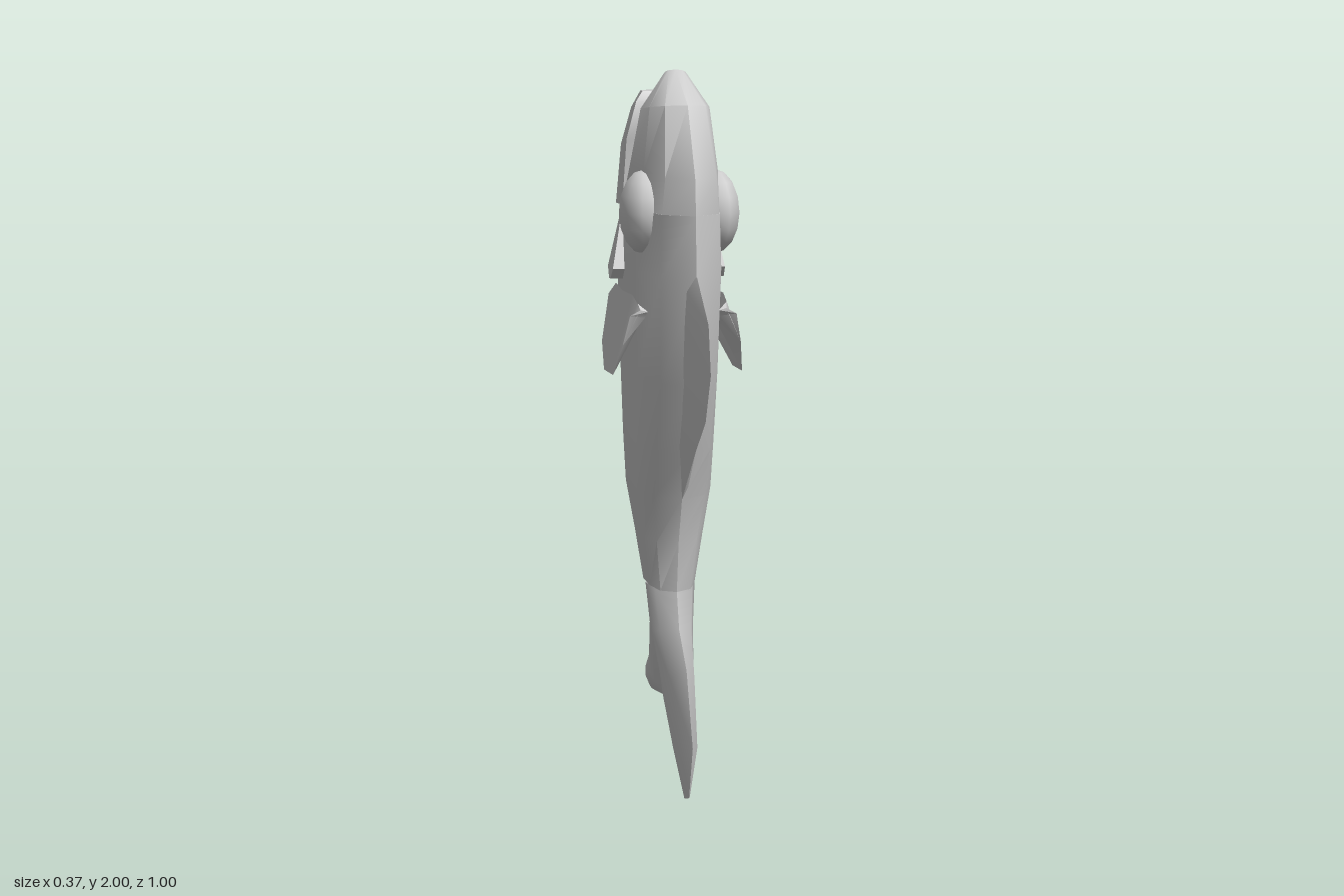
import * as THREE from 'three';
import { toCreasedNormals } from 'three/addons/utils/BufferGeometryUtils.js';

const grey = new THREE.MeshStandardMaterial({ color: 0xcccccc });
grey.name = 'fishGrey';

// Skin a list of equal-length closed rings of [x, y, z] and cap both ends
function skin(rings, crease = 0.75) {
  const n = rings[0].length, last = (rings.length - 1) * n;
  const pts = rings.flat().map(p => new THREE.Vector3(...p));
  const tris = [];
  for (let r = 0; r < rings.length - 1; r++) {
    for (let i = 0; i < n; i++) {
      const a = r * n + i, b = r * n + (i + 1) % n;
      tris.push([a, b, b + n], [a, b + n, a + n]);
    }
  }
  for (let i = 1; i < n - 1; i++) {
    tris.push([0, i + 1, i], [last, last + i, last + i + 1]);
  }
  // Signed volume tells whether the faces point outwards
  const cross = new THREE.Vector3();
  let volume = 0;
  for (const [a, b, c] of tris) volume += pts[a].dot(cross.crossVectors(pts[b], pts[c]));
  if (volume < 0) tris.forEach(t => t.reverse());
  const g = new THREE.BufferGeometry();
  g.setFromPoints(pts);
  g.setIndex(tris.flat());
  return toCreasedNormals(g, crease);
}

// Symmetric loft: each row is [zFront, yFront, zBack, yBack, halfWidth];
// the profile lists [front-to-back fraction, width fraction]
function loft(rows, profile, crease) {
  return skin(rows.map(([zf, yf, zb, yb, w]) => {
    const at = ([t, f], s) => [s * f * w, yf + (yb - yf) * t, zf + (zb - zf) * t];
    const right = profile.filter(p => p[1] > 0).reverse();
    return [...profile.map(p => at(p, 1)), ...right.map(p => at(p, -1))];
  }), crease);
}

export function createModel() {
  const fish = new THREE.Group();
  fish.name = 'fish';
  const add = (name, geometry) => {
    const mesh = new THREE.Mesh(geometry, grey);
    mesh.name = name;
    fish.add(mesh);
    return mesh;
  };

  // Trunk, from the tail root up to the mouth corner
  const trunk = [
    [0.57, 0.055, -0.155, 0.072], [0.72, 0.08, -0.175, 0.095], [0.86, 0.13, -0.23, 0.117],
    [1.0, 0.195, -0.29, 0.121], [1.2, 0.285, -0.36, 0.124], [1.48, 0.32, -0.38, 0.13],
    [1.64, 0.31, -0.355, 0.125],
  ].map(([y, zf, zb, w]) => [zf, y, zb, y, w]);
  add('body', loft(trunk, [[0, 0], [0.1, 0.6], [0.35, 0.9], [0.68, 1], [0.9, 0.64], [1, 0]]));

  // Jaws on each side of the open mouth
  add('upperJaw', loft([
    [0.31, 1.64, -0.11, 1.64, 0.123], [0.3, 1.73, -0.05, 1.75, 0.11],
    [0.2, 1.91, 0, 1.9, 0.088], [0.035, 2.0, 0.025, 1.99, 0.03],
  ], [[0, 0], [0.16, 0.6], [0.55, 0.9], [1, 1]]));
  add('lowerJaw', loft([
    [-0.11, 1.64, -0.355, 1.64, 0.127], [-0.1, 1.82, -0.31, 1.77, 0.115],
    [-0.08, 1.92, -0.27, 1.87, 0.09], [-0.095, 1.945, -0.14, 1.95, 0.07],
  ], [[0, 0], [0.04, 0.95], [0.35, 1], [0.75, 0.64], [1, 0]]));

  // Tail lobes, lens shaped in section
  const lens = [[0, 0], [0.25, 0.75], [0.5, 1], [0.75, 0.75], [1, 0]];
  add('frontTailLobe', loft([
    [0.055, 0.57, -0.155, 0.57, 0.072], [0.09, 0.47, -0.12, 0.4, 0.06],
    [0.2, 0.39, -0.05, 0.21, 0.046], [0.29, 0.2, 0.07, 0.11, 0.032], [0.24, 0.03, 0.18, 0, 0.006],
  ], lens));
  add('backTailLobe', loft([
    [0.055, 0.57, -0.155, 0.57, 0.072], [0.05, 0.42, -0.15, 0.48, 0.06],
    [-0.05, 0.21, -0.26, 0.32, 0.046], [-0.24, 0.15, -0.39, 0.21, 0.03], [-0.37, 0.11, -0.41, 0.13, 0.006],
  ], lens));

  // Wedge fins: sharp outer edge first, thick root second
  const wedge = [[0, 0], [1, 1]];
  add('dorsalFin', loft([
    [0.325, 1.49, 0.27, 1.46, 0.024], [0.47, 1.39, 0.28, 1.38, 0.024], [0.5, 1.27, 0.27, 1.26, 0.024],
    [0.44, 1.14, 0.22, 1.14, 0.024], [0.32, 1.04, 0.16, 1.02, 0.024], [0.13, 0.86, 0.09, 0.86, 0.02],
  ], wedge));
  add('ventralFin', loft([
    [-0.375, 1.445, -0.34, 1.43, 0.024], [-0.48, 1.37, -0.34, 1.37, 0.024],
    [-0.495, 1.3, -0.33, 1.3, 0.024], [-0.44, 1.22, -0.32, 1.22, 0.024], [-0.36, 1.17, -0.31, 1.17, 0.02],
  ], wedge));

  for (const s of [1, -1]) {
    const side = s > 0 ? 'left' : 'right';

    // Bulging eye
    const eye = add(side + 'Eye', new THREE.SphereGeometry(0.11, 10, 8));
    eye.scale.x = 0.6;
    eye.position.set(s * 0.095, 1.635, 0.085);

    // Side fin flaring out and down: rows of [z, topY, tipY, rootX, tipX]
    add(side + 'SideFin', skin([
      [0.15, 1.385, 1.37, 0.115, 0.143], [0.13, 1.4, 1.29, 0.12, 0.16], [0.07, 1.415, 1.2, 0.124, 0.178],
      [-0.07, 1.41, 1.19, 0.13, 0.183], [-0.2, 1.415, 1.25, 0.128, 0.17], [-0.28, 1.39, 1.375, 0.115, 0.138],
    ].map(([z, top, tip, root, tipX]) => [
      [s * root, top, z], [s * tipX, tip, z], [s * (root - 0.02), tip + (top - tip) * 0.65, z],
    ])));

    // Fold of lip hanging at the mouth corner: [y, zFront, zBack, outerX]
    add(side + 'LipFold', skin([
      [1.64, -0.105, -0.115, 0.122], [1.47, -0.06, -0.155, 0.157], [1.44, -0.09, -0.115, 0.16],
    ].map(([y, zf, zb, x]) => [
      [s * 0.1, y, zf], [s * x, y, zf], [s * x, y, zb], [s * 0.1, y, zb],
    ])));
  }
  return fish;
}
